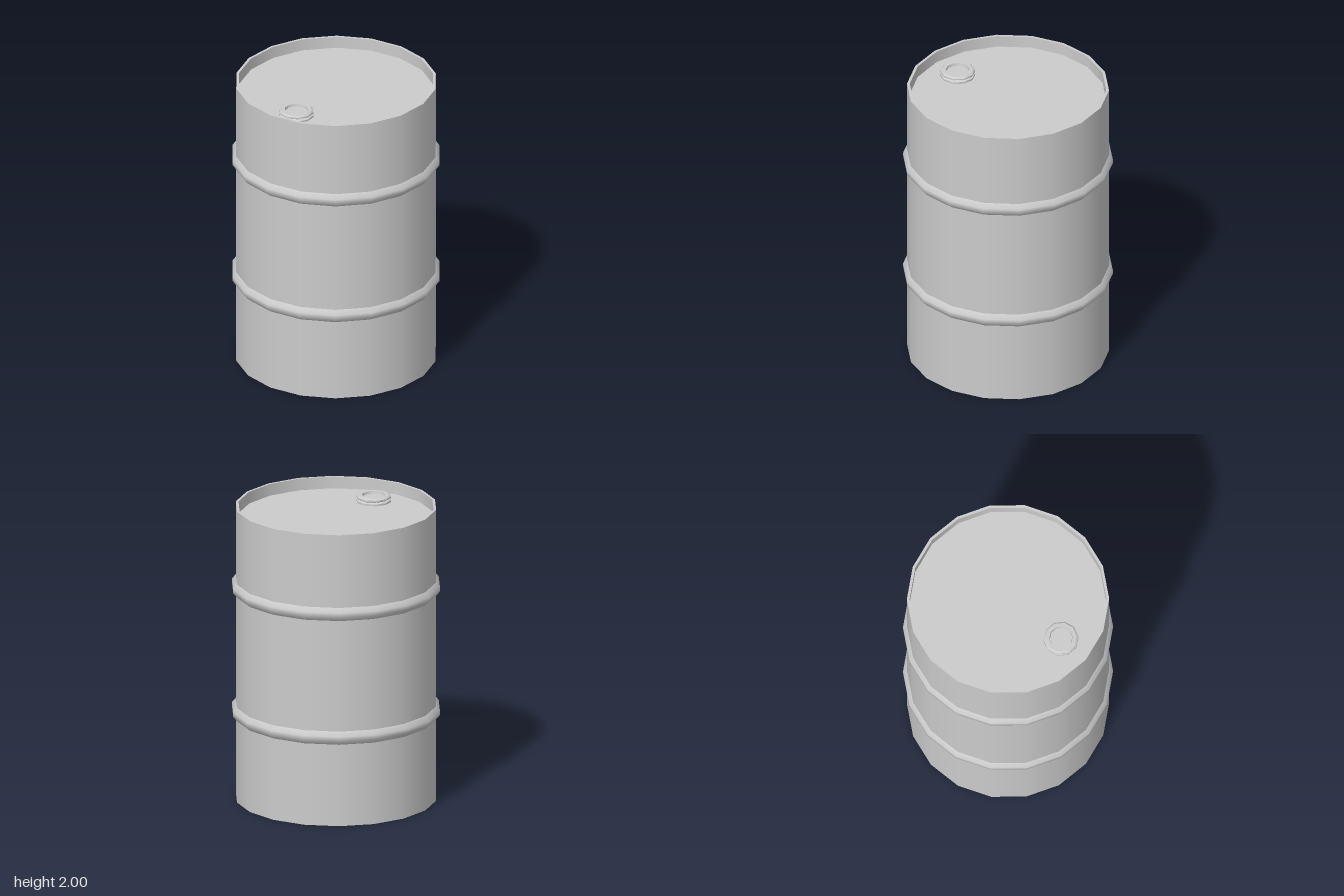
import * as THREE from 'three';

const R = 0.665;      // wall radius
const RIM = 0.647;    // inner radius of the rims
const LID = 1.92;     // height of the recessed lid
const BASE = 0.035;   // height of the recessed bottom

export function createModel() {
  const model = new THREE.Group();
  model.name = 'barrel';
  const material = new THREE.MeshStandardMaterial({ color: 0xcccccc });

  // Turned surface; the profile runs so that its outside is on the right.
  function turn(name, profile, sides, start, parent) {
    const points = profile.map(([r, y]) => new THREE.Vector2(r, y));
    const mesh = new THREE.Mesh(new THREE.LatheGeometry(points, sides, start), material);
    mesh.name = name;
    parent.add(mesh);
  }

  // Each profile segment as its own strip, giving hard edges between strips.
  function turnSharp(name, profile, sides, start, parent) {
    const group = new THREE.Group();
    group.name = name;
    for (let i = 0; i < profile.length - 1; i++) {
      turn(name + 'Face' + (i + 1), [profile[i], profile[i + 1]], sides, start, group);
    }
    parent.add(group);
    return group;
  }

  const barrelPart = (build, name, profile) => build(name, profile, 18, Math.PI / 2, model);

  // Walls between the hoops
  barrelPart(turn, 'lowerWall', [[R, 0], [R, 0.56]]);
  barrelPart(turn, 'middleWall', [[R, 0.65], [R, 1.41]]);
  barrelPart(turn, 'upperWall', [[R, 1.5], [R, 2]]);

  // Raised hoops
  [['lowerHoop', 0.605], ['upperHoop', 1.455]].forEach(([name, y]) => {
    barrelPart(turn, name, [
      [R, y - 0.045], [0.69, y - 0.015], [0.69, y + 0.015], [R, y + 0.045],
    ]);
  });

  // Recessed bottom and lid with their rims
  barrelPart(turnSharp, 'bottom', [[0, BASE], [RIM, BASE], [RIM, 0], [R, 0]]);
  barrelPart(turnSharp, 'lid', [[R, 2], [RIM, 2], [RIM, LID], [0, LID]]);

  // Filler cap: flange, waist, top ring and recessed centre
  const cap = turnSharp('fillerCap', [
    [0.115, 0], [0.115, 0.012], [0.1, 0.02], [0.115, 0.028], [0.115, 0.038],
    [0.103, 0.047], [0.078, 0.047], [0.074, 0.03], [0, 0.03],
  ], 10, 0, model);
  cap.position.set(-0.05, LID, 0.43);

  return model;
}
